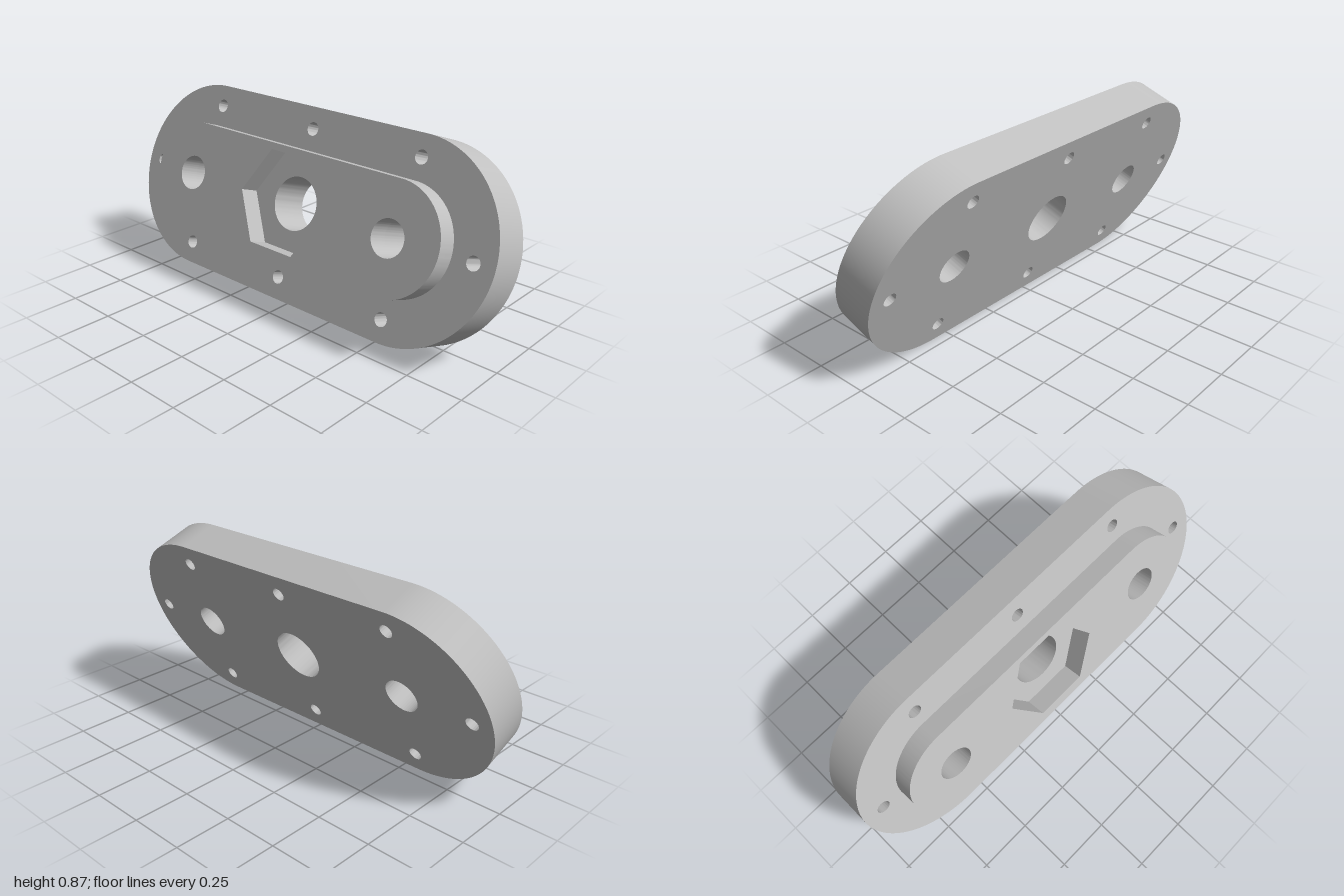
import * as THREE from 'three';
import { toCreasedNormals } from 'three/addons/utils/BufferGeometryUtils.js';

const U = 1 / 42; // design unit: overall length is 84 units
const SPAN = 24 * U; // centre distance of the rounded ends
const TILT = THREE.MathUtils.degToRad(20);

// Stadium outline with round ends of radius r
function stadium(r) {
  const s = new THREE.Shape();
  s.moveTo(-SPAN, -r);
  s.lineTo(SPAN, -r);
  s.absarc(SPAN, 0, r, -Math.PI / 2, Math.PI / 2, false);
  s.lineTo(-SPAN, r);
  s.absarc(-SPAN, 0, r, Math.PI / 2, Math.PI * 1.5, false);
  return s;
}

function roundHole(x, y, r) {
  const p = new THREE.Path();
  p.absarc(x, y, r, 0, Math.PI * 2, true);
  return p;
}

function hexHole(r) {
  const pts = [];
  for (let i = 0; i < 6; i++) {
    const a = -i * Math.PI / 3;
    pts.push(new THREE.Vector2(r * Math.cos(a), r * Math.sin(a)));
  }
  return new THREE.Path(pts);
}

function plate(name, shape, depth, z, material) {
  const geo = new THREE.ExtrudeGeometry(shape, { depth, bevelEnabled: false, curveSegments: 48 });
  const mesh = new THREE.Mesh(toCreasedNormals(geo, 0.5), material);
  mesh.name = name;
  mesh.position.z = z;
  return mesh;
}

export function createModel() {
  const grey = new THREE.MeshStandardMaterial({ color: 0xc0c0c0 });
  grey.name = 'light grey';

  const baseR = 18 * U, baseT = 8 * U, bossR = 10 * U, bossT = 4 * U;
  const screwR = 1.25 * U, screwOffset = 14 * U, pinR = 3.3 * U, boreR = 5 * U;

  // Base plate: centre bore, two pin holes, eight screw holes around the rim
  const base = stadium(baseR);
  base.holes.push(roundHole(0, 0, boreR));
  for (const s of [-1, 1]) {
    base.holes.push(roundHole(s * SPAN, 0, pinR));
    base.holes.push(roundHole(s * (SPAN + screwOffset), 0, screwR));
    for (const x of [-SPAN, 0, SPAN]) base.holes.push(roundHole(x, s * screwOffset, screwR));
  }

  // Raised boss: hexagonal nut pocket and the two pin holes
  const boss = stadium(bossR);
  boss.holes.push(hexHole(10.1 * U));
  for (const s of [-1, 1]) boss.holes.push(roundHole(s * SPAN, 0, pinR));

  const body = new THREE.Group();
  body.name = 'tiltedPlate';
  body.add(plate('basePlate', base, baseT, 0, grey));
  body.add(plate('raisedBoss', boss, bossT, baseT, grey));

  // Lean back, resting on the lower rear edge
  body.rotation.x = -TILT;
  body.position.set(0, baseR * Math.cos(TILT), -0.1);

  const model = new THREE.Group();
  model.name = 'mountingPlate';
  model.add(body);
  return model;
}
